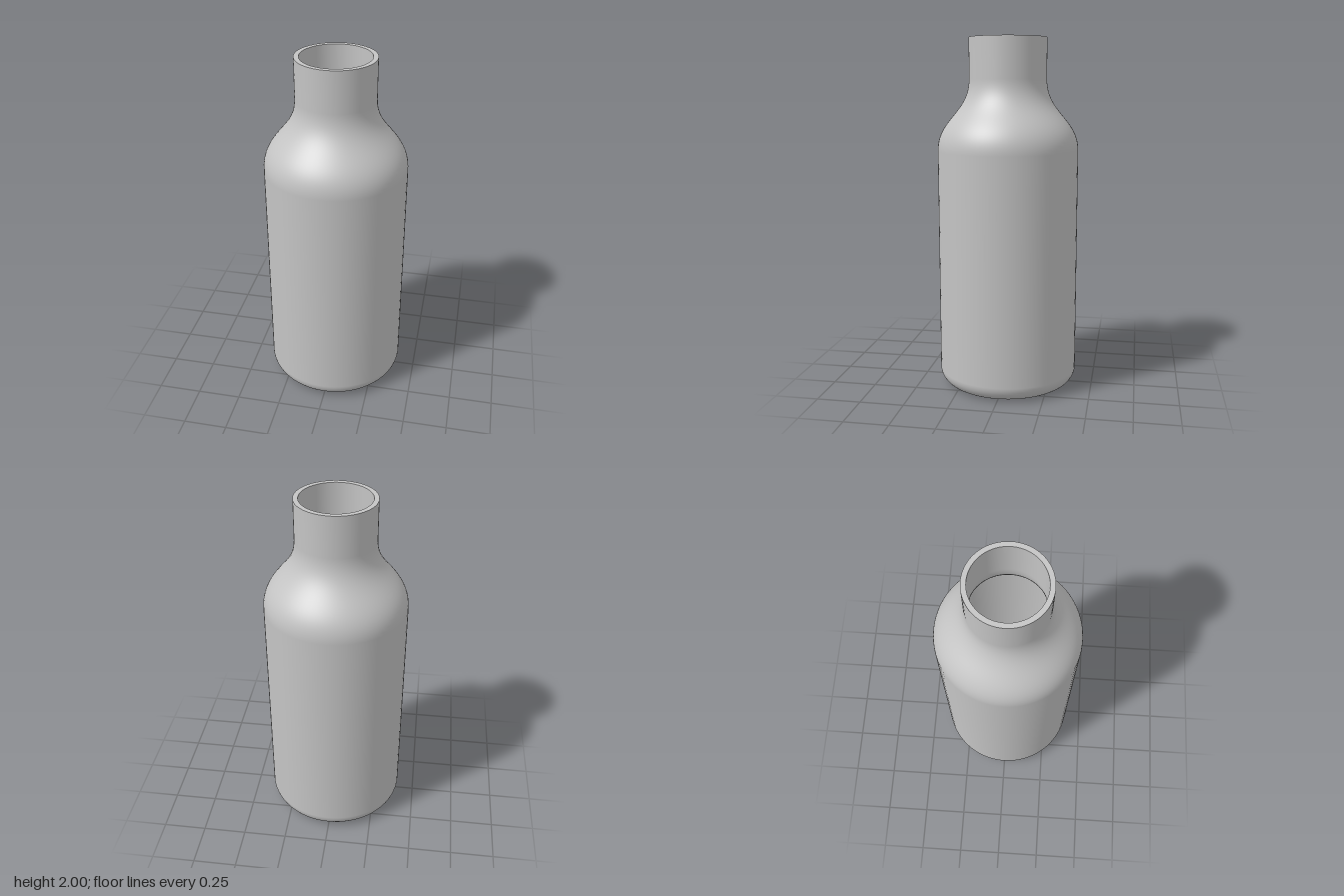
import * as THREE from 'three';

const SEGMENTS = 72;
const BODY_R = 0.4, NECK_R = 0.22, WALL = 0.027, FILLET = 0.09;
const SHOULDER_Y = 1.37, NECK_Y = 1.77, TOP_Y = 2;

const v = (x, y) => new THREE.Vector2(x, y);

// Side profile from the rounded base up to the lip, inset by the given wall thickness
function sideProfile(inset) {
  const body = BODY_R - inset, neck = NECK_R - inset, r = FILLET - inset;
  const points = [];
  for (let i = 0; i <= 10; i++) {
    const a = (i / 10) * Math.PI / 2;
    points.push(v(body - r + r * Math.sin(a), inset + r - r * Math.cos(a)));
  }
  const shoulder = new THREE.CubicBezierCurve(
    v(body, SHOULDER_Y - inset * 0.3), v(body, 1.55 - inset * 0.3),
    v(neck, 1.58 - inset * 0.3), v(neck, NECK_Y));
  points.push(...shoulder.getPoints(24), v(neck, TOP_Y));
  return points;
}

export function createModel() {
  const group = new THREE.Group();
  group.name = 'bottle';
  const grey = new THREE.MeshStandardMaterial({ color: 0xc4c4c4 });
  grey.name = 'grey';

  const addLathe = (name, points) => {
    const mesh = new THREE.Mesh(new THREE.LatheGeometry(points, SEGMENTS), grey);
    mesh.name = name;
    group.add(mesh);
  };

  const outer = sideProfile(0);
  const inner = sideProfile(WALL).reverse();

  // Separate surfaces keep the lip edges sharp while the walls stay smooth
  addLathe('base', [v(0, 0), outer[0]]);
  addLathe('outerWall', outer);
  addLathe('rim', [v(NECK_R, TOP_Y), v(NECK_R - WALL, TOP_Y)]);
  addLathe('innerWall', inner);
  addLathe('innerFloor', [inner[inner.length - 1], v(0, WALL)]);

  return group;
}
